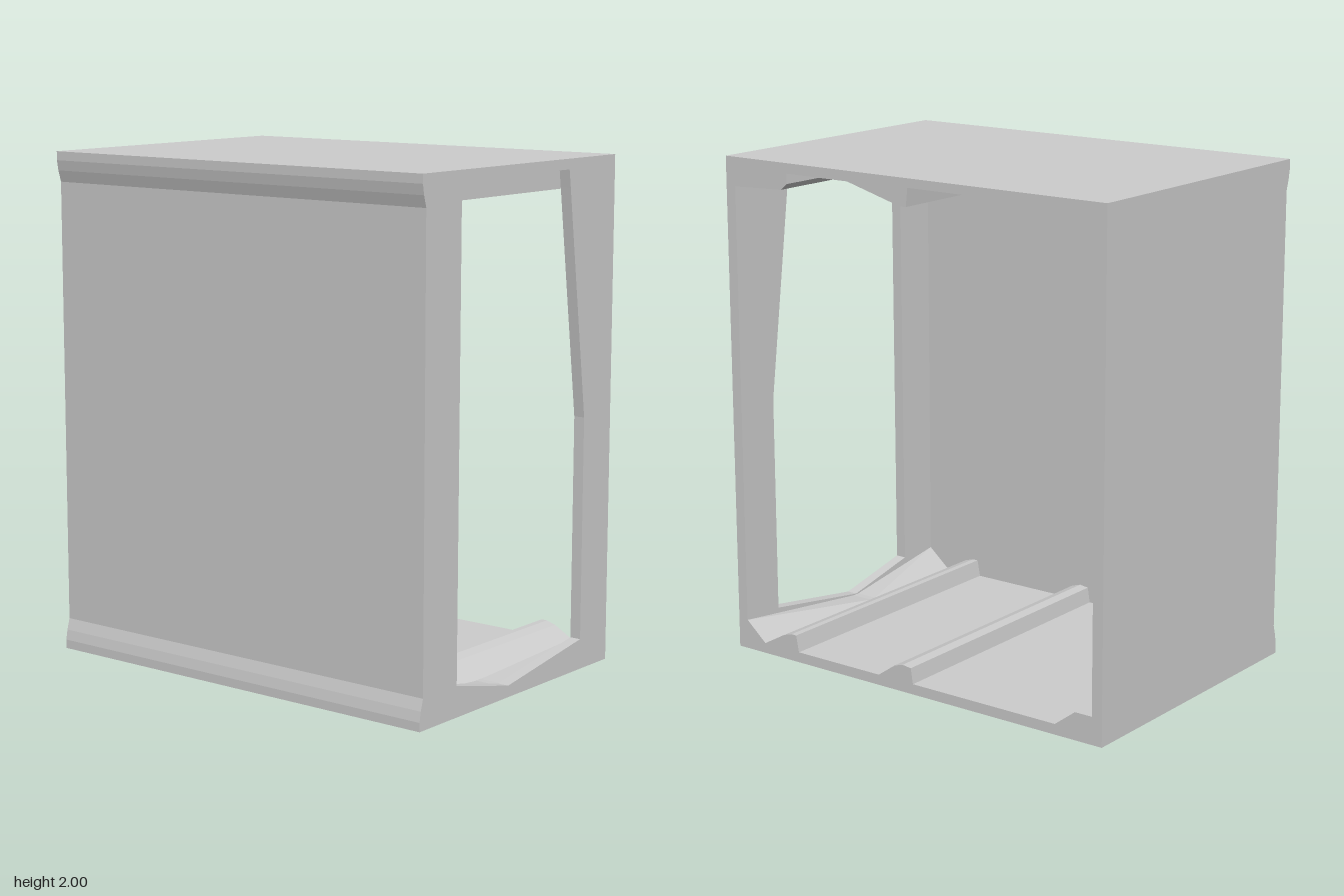
import * as THREE from 'three';
import { ConvexGeometry } from 'three/addons/geometries/ConvexGeometry.js';

const X = 0.615, Z = 0.89, ZI = 0.845, WALL = -0.57;

export function createModel() {
  const group = new THREE.Group();
  const mat = new THREE.MeshStandardMaterial({ color: 0xcccccc, flatShading: true });

  const add = (name, geometry) => {
    const mesh = new THREE.Mesh(geometry, mat);
    mesh.name = name;
    group.add(mesh);
    return mesh;
  };
  const toShape = (pts) => new THREE.Shape(pts.map(([a, b]) => new THREE.Vector2(a, b)));
  const extrude = (shape, depth) => new THREE.ExtrudeGeometry(shape, { depth, bevelEnabled: false });

  // Extrudes a (z, y) section along x, from the side wall to the open side
  const alongX = (name, section) => {
    const geo = extrude(toShape(section.map(([z, y]) => [-z, y])), X - WALL);
    add(name, geo.rotateY(Math.PI / 2).translate(WALL, 0, 0));
  };

  // Flared outer edge of the recessed side, bottom to top
  const lower = [[-X, 0], [-X, 0.035], [-0.608, 0.075], [-0.595, 0.12]];
  const flare = [...lower, ...lower.map(([x, y]) => [x, 2 - y]).reverse()];

  // Front plate with its tapered opening
  const front = toShape([...flare, [X, 2], [X, 0]]);
  front.holes.push(new THREE.Path([
    [-0.39, 0.12], [-0.06, 0.045], [0.43, 0.12], [0.43, 1.0],
    [0.31, 1.89], [0.3, 1.96], [-0.385, 1.96],
  ].map(([x, y]) => new THREE.Vector2(x, y))));
  add('frontPanel', extrude(front, Z - ZI).translate(0, 0, ZI));

  // Solid back plate
  add('backPanel', extrude(toShape([...flare, [X, 2], [X, 0]]), Z - ZI).translate(0, 0, -Z));

  // Recessed side wall with flared top and bottom
  add('sideWall', extrude(toShape([...flare, [WALL, 2], [WALL, 0]]), 2 * ZI).translate(0, 0, -ZI));

  // Floor with ramped ribs
  alongX('floor', [
    [ZI, 0], [ZI, 0.042], [0.75, 0.042], [0.65, 0.098], [0.61, 0.11], [0.585, 0.11], [0.572, 0.042],
    [0.16, 0.042], [0.08, 0.098], [0.04, 0.11], [0.0, 0.105], [-0.01, 0.042],
    [-0.68, 0.042], [-0.77, 0.11], [-ZI, 0.11], [-ZI, 0],
  ]);

  // Ceiling with a front rib, a middle wedge and a rear rib
  alongX('ceiling', [
    [ZI, 2], [ZI, 1.885], [0.61, 1.895], [0.58, 1.92], [0.58, 1.96],
    [0.28, 1.96], [0.03, 1.893], [0.0, 1.893], [-0.008, 1.965],
    [-0.725, 1.965], [-0.73, 1.915], [-ZI, 1.892], [-ZI, 2],
  ]);

  // Sloped sills behind the lower lip, tapering to the middle of the opening
  for (const x of [WALL, X]) {
    add('frontSill', new ConvexGeometry([
      [x, 0.12, ZI], [x, 0.04, ZI], [x, 0.04, 0.75], [-0.06, 0.04, ZI], [-0.06, 0.04, 0.75],
    ].map((p) => new THREE.Vector3(...p))));
  }

  return group;
}
